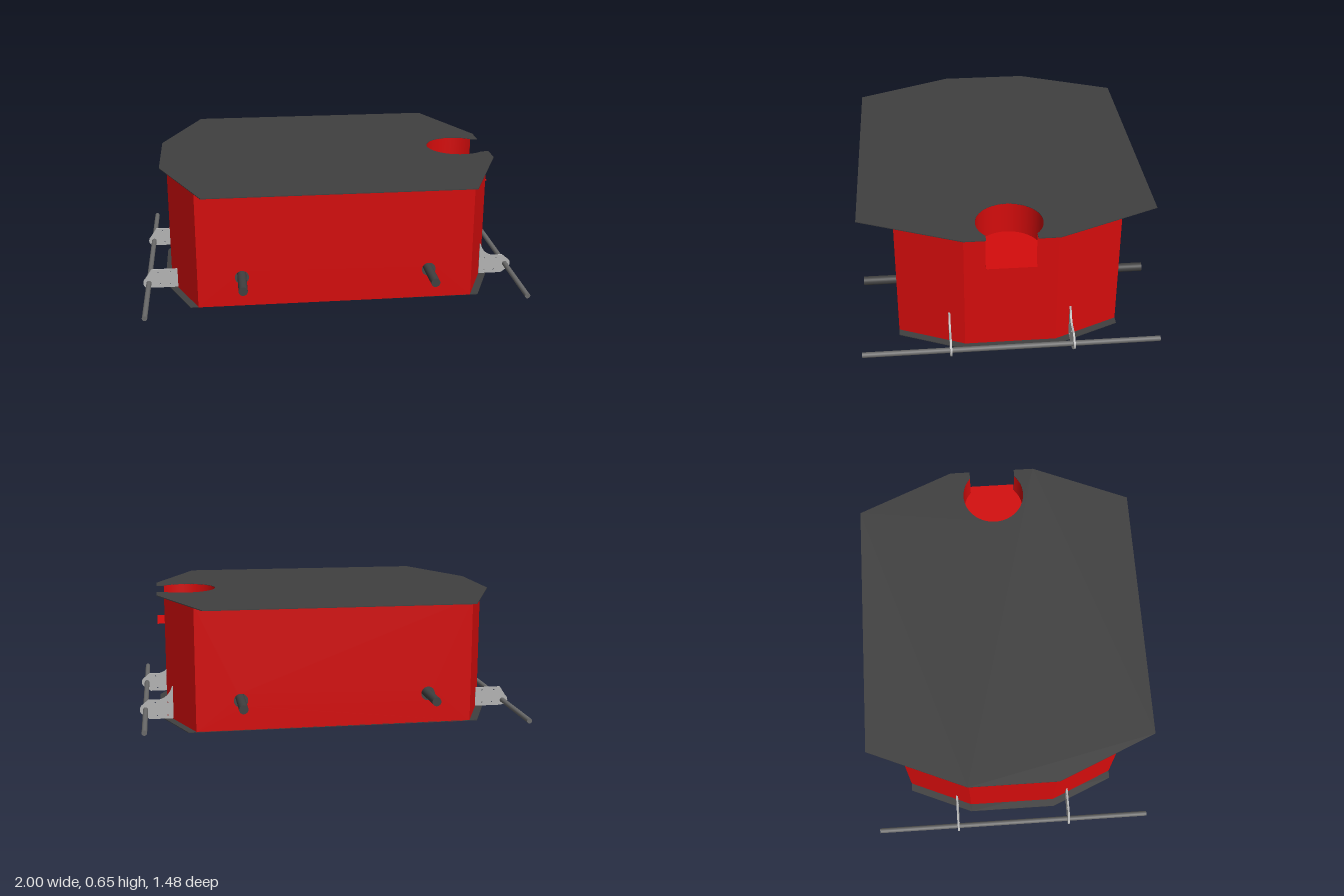
import * as THREE from 'three';

const mat = (color, side = THREE.FrontSide) => new THREE.MeshStandardMaterial({ color, side });
const red = mat(0xd40c0c, THREE.DoubleSide);
const dark = mat(0x404040);
const steel = mat(0x6a6a6a);
const zinc = mat(0xb4b4b4);

const H = 0.652;                       // body height
const FLOOR = 0.485;                   // pocket floor height
const PX = 0.742, PR = 0.166, PW = 0.124; // pocket centre, radius, half width of its mouth
const EDGE = 0.892;                    // outermost x of the plates
const A = Math.asin(PW / PR);
const AXLE_X = 0.485, AXLE_Y = 0.157;

function add(group, name, geometry, material) {
  const m = new THREE.Mesh(geometry, material);
  m.name = name;
  group.add(m);
  return m;
}

const polygon = (pts) => new THREE.Shape(pts.map(([x, y]) => new THREE.Vector2(x, y)));

function circleHole(shape, x, y, r) {
  const h = new THREE.Path();
  h.absarc(x, y, r, 0, Math.PI * 2, true);
  shape.holes.push(h);
}

// Thin horizontal eight-sided plate, optionally with the pocket cut out
function plate(cx, cz, pocket) {
  const s = new THREE.Shape();
  s.moveTo(-cx, -cz);
  s.lineTo(cx, -cz);
  s.lineTo(EDGE, -0.232);
  if (pocket) {
    s.lineTo(EDGE, -PW);
    s.absarc(PX, 0, PR, -A, A, true);
    s.lineTo(EDGE, PW);
  }
  s.lineTo(EDGE, 0.232);
  s.lineTo(cx, cz);
  s.lineTo(-cx, cz);
  s.lineTo(-EDGE, 0.232);
  s.lineTo(-EDGE, -0.232);
  return new THREE.ExtrudeGeometry(s, { depth: 0.004, bevelEnabled: false, curveSegments: 40 })
    .rotateX(-Math.PI / 2);
}

// Upright sheet panels around the body, with axle holes and the pocket mouth
function buildBody() {
  const body = new THREE.Group();
  body.name = 'body';
  const ring = [[-0.712, 0.56], [0.712, 0.56], [0.853, 0.23], [0.853, -0.23],
    [0.712, -0.56], [-0.712, -0.56], [-0.853, -0.23], [-0.853, 0.23]];
  const names = ['frontWall', 'frontLeftWall', 'leftWall', 'backLeftWall',
    'backWall', 'backRightWall', 'rightWall', 'frontRightWall'];
  ring.forEach(([ax, az], i) => {
    const [bx, bz] = ring[(i + 1) % 8];
    const w = Math.hypot(bx - ax, bz - az), c = w / 2;
    const shape = names[i] === 'leftWall'
      ? polygon([[0, 0], [w, 0], [w, H], [c + PW, H], [c + PW, FLOOR], [c - PW, FLOOR], [c - PW, H], [0, H]])
      : polygon([[0, 0], [w, 0], [w, H], [0, H]]);
    if (i % 4 === 0) {
      for (const s of [-1, 1]) circleHole(shape, c + s * AXLE_X, AXLE_Y, 0.036);
    }
    const m = add(body, names[i], new THREE.ShapeGeometry(shape, 24), red);
    m.position.set(ax, 0, az);
    m.rotation.y = Math.atan2(az - bz, bx - ax);
  });

  // Round pocket: curved wall and a floor with a projecting lip
  const wall = new THREE.CylinderGeometry(PR, PR, H - FLOOR, 48, 1, true,
    Math.PI / 2 + A, Math.PI * 2 - 2 * A);
  add(body, 'pocketWall', wall, red).position.set(PX, (H + FLOOR) / 2, 0);
  const f = new THREE.Shape();
  f.absarc(PX, 0, PR, A, Math.PI * 2 - A, false);
  f.lineTo(EDGE, -PW);
  f.lineTo(EDGE, PW);
  const floor = new THREE.ExtrudeGeometry(f, { depth: 0.004, bevelEnabled: false, curveSegments: 40 });
  add(body, 'pocketFloor', floor.rotateX(-Math.PI / 2), red).position.y = FLOOR - 0.002;
  return body;
}

// Flat bracket with a rounded nose around the rail; tall ones sweep up the wall
function bracket(inner, railX, railY, tall) {
  const s = new THREE.Shape();
  s.moveTo(inner, 0.01);
  s.lineTo(railX - 0.02, 0.01);
  s.absarc(railX, railY, 0.03, -0.9, 0.9, false);
  s.lineTo(railX - 0.015, 0.113);
  if (tall) {
    s.lineTo(0.895, 0.113);
    s.quadraticCurveTo(0.848, 0.125, inner + 0.004, 0.182);
    s.lineTo(inner, 0.182);
  } else s.lineTo(inner, 0.113);
  for (const [x, y] of [[0.855, 0.028], [0.91, 0.028], [0.855, 0.097], [0.92, 0.097]]) {
    circleHole(s, x, y, 0.004);
  }
  return new THREE.ExtrudeGeometry(s, { depth: 0.01, bevelEnabled: false, curveSegments: 10 })
    .translate(0, 0, -0.005);
}

function rod(r, length) {
  return new THREE.CylinderGeometry(r, r, length, 24).rotateX(Math.PI / 2);
}

export function createModel() {
  const model = new THREE.Group();
  model.name = 'model';
  const core = new THREE.Group();
  core.name = 'housing';
  core.position.x = 0.004;
  model.add(core);

  core.add(buildBody());
  add(core, 'topPlate', plate(0.677, 0.74, true), dark).position.y = H - 0.002;
  add(core, 'bottomPlate', plate(0.753, 0.56, false), dark);

  // Axles running through the body from front to back
  for (const s of [-1, 1]) {
    add(core, s > 0 ? 'leftAxle' : 'rightAxle', rod(0.023, 1.47), dark)
      .position.set(s * AXLE_X, AXLE_Y, 0);
  }

  // Side rails, each carried by a pair of brackets
  for (const [side, sign, inner, y, tall] of [['left', 1, 0.826, 0.062, true], ['right', -1, 0.816, 0.038, false]]) {
    const g = new THREE.Group();
    g.name = side + 'RailAssembly';
    if (sign < 0) g.rotation.y = Math.PI;
    add(g, side + 'Rail', rod(0.0135, 1.48), steel).position.set(0.97, y, 0);
    for (const z of [-0.305, 0.305]) {
      add(g, side + 'Bracket', bracket(inner, 0.97, y, tall), zinc).position.z = z;
    }
    model.add(g);
  }
  return model;
}
